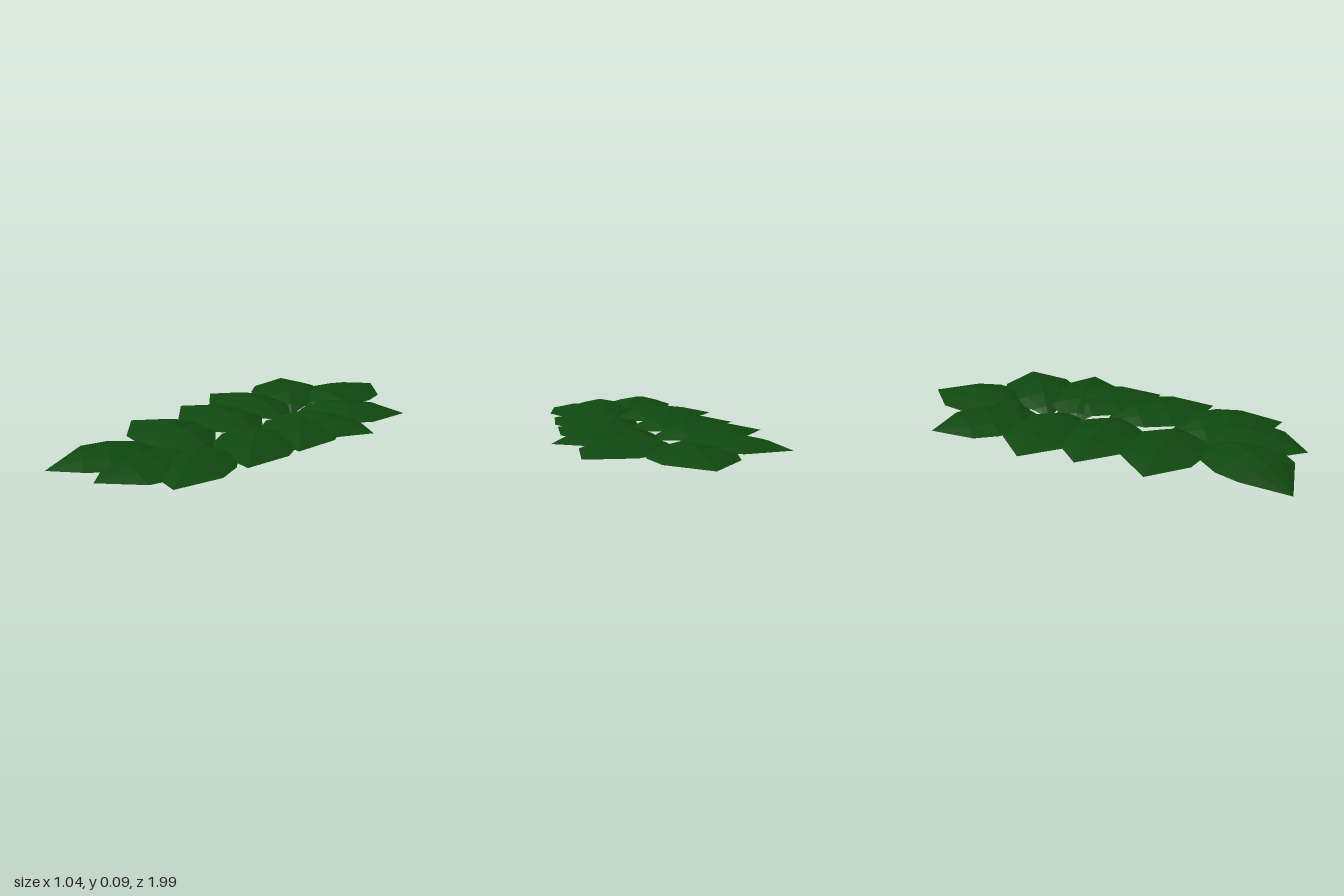
import * as THREE from 'three';

// Leaf cross-sections: distance from tip, half width, ridge height, edge height
const SECTIONS = [
  [0, 0, 0.043, 0.043],
  [0.16, 0.165, 0.08, 0.043],
  [0.28, 0.195, 0.095, 0.045],
  [0.42, 0.17, 0.083, 0.043],
  [0.52, 0.07, 0.045, 0.03],
  [0.57, 0, 0.002, 0.002],
];
const ACROSS = [-1, -0.5, 0, 0.5, 1];

// Folded leaf with its tip at the origin, running back along +z
function leafGeometry(droop) {
  const pos = [];
  const index = [];
  SECTIONS.forEach(([d, w, ridge, edge], row) => {
    const drop = droop ? 0.043 * Math.max(0, 1 - d / 0.16) : 0;
    for (const s of ACROSS) {
      const fall = Math.abs(s) === 0.5 ? 0.4 : Math.abs(s);
      pos.push(s * w, ridge + (edge - ridge) * fall - drop, d);
    }
    if (row === 0) return;
    for (let i = 0; i < 4; i++) {
      const a = (row - 1) * 5 + i, b = row * 5 + i;
      if (row > 1) index.push(a, b, a + 1);
      if (row === 1) index.push(a, b, b + 1);
      else if (row < SECTIONS.length - 1) index.push(a + 1, b, b + 1);
    }
  });
  const g = new THREE.BufferGeometry();
  g.setAttribute('position', new THREE.Float32BufferAttribute(pos, 3));
  g.setIndex(index);
  const flat = g.toNonIndexed();
  flat.computeVertexNormals();
  return flat;
}

// Each leaf: tip x, tip z, base x, base z
const LEAVES = [
  [0, -1, 0, -0.43],
  [-0.45, -0.72, -0.02, -0.33],
  [0.45, -0.66, -0.01, -0.32],
  [-0.52, -0.21, 0.05, -0.22],
  [0.52, -0.3, -0.03, -0.16],
  [-0.47, 0.05, 0.08, 0.04],
  [0.42, 0.13, 0.06, -0.3],
  [0.39, 0.43, 0.06, 0.0],
  [-0.47, 0.38, 0.08, 0.36],
  [0.335, 0.8, 0.05, 0.34],
  [-0.3, 0.99, 0.02, 0.5],
  [0.05, 0.98, 0.1, 0.42],
];

export function createModel() {
  const model = new THREE.Group();
  model.name = 'leafCluster';
  const leafGreen = new THREE.MeshStandardMaterial({
    color: 0x10480f, flatShading: true, side: THREE.DoubleSide,
  });
  leafGreen.name = 'leafGreen';
  const flatLeaf = leafGeometry(false);
  const droopingLeaf = leafGeometry(true);

  LEAVES.forEach(([tx, tz, bx, bz], i) => {
    const leaf = new THREE.Mesh(i === 10 ? droopingLeaf : flatLeaf, leafGreen);
    leaf.name = `leaf${i + 1}`;
    leaf.position.set(tx, 0, tz);
    leaf.rotation.y = Math.atan2(bx - tx, bz - tz);
    model.add(leaf);
  });
  return model;
}
